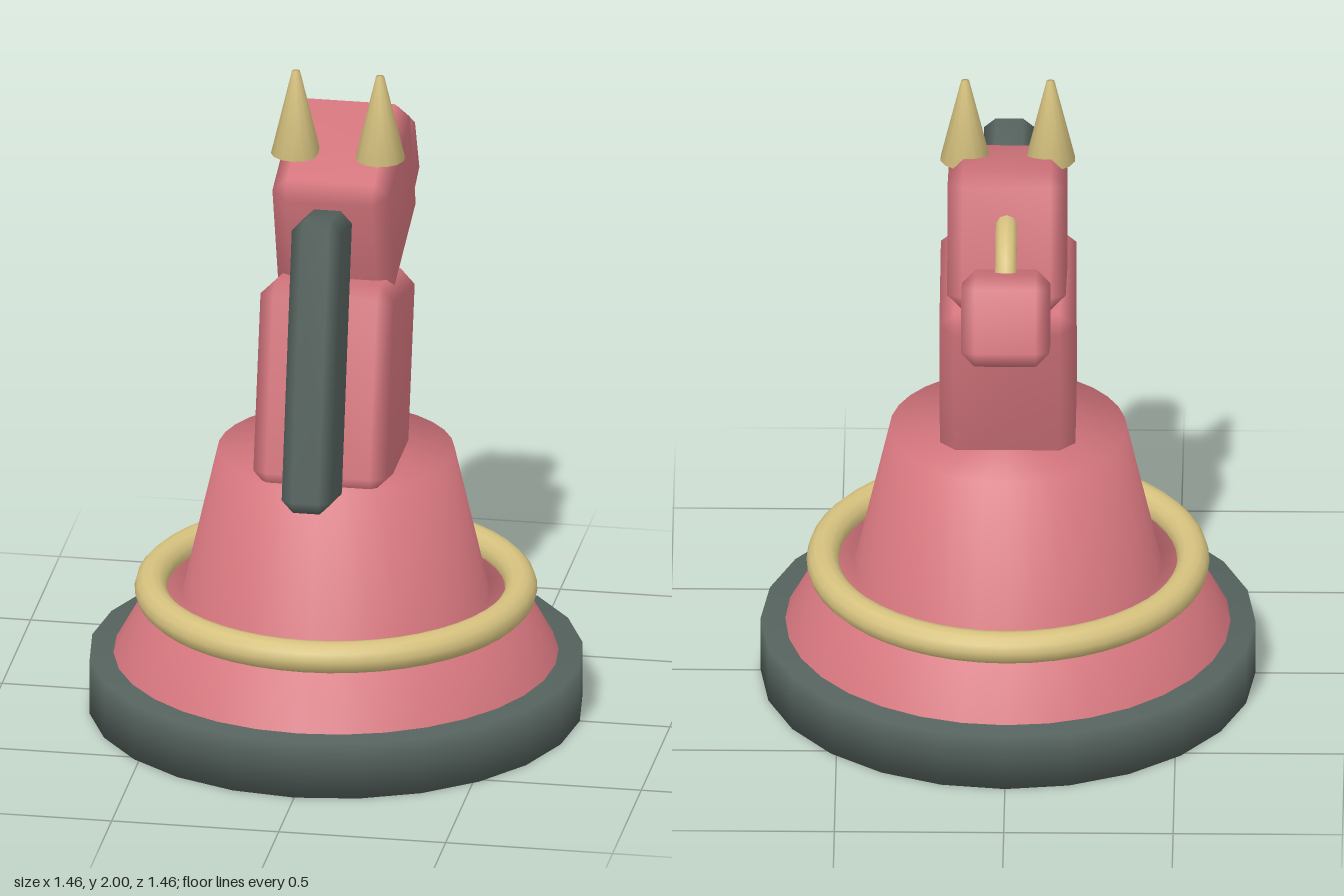
import * as THREE from 'three';
import { mergeVertices } from 'three/addons/utils/BufferGeometryUtils.js';
import { ConvexGeometry } from 'three/addons/geometries/ConvexGeometry.js';

const material = (name, color) => {
  const m = new THREE.MeshStandardMaterial({ color });
  m.name = name;
  return m;
};

// Box with single chamfers and softly shaded edges
function chamferBox(w, h, d, b) {
  const pts = [];
  for (const x of [-1, 1]) for (const y of [-1, 1]) for (const z of [-1, 1]) {
    const at = (p, q, r) => pts.push(new THREE.Vector3(x * (w / 2 - p), y * (h / 2 - q), z * (d / 2 - r)));
    at(0, b, b);
    at(b, 0, b);
    at(b, b, 0);
  }
  let geo = new ConvexGeometry(pts);
  geo.deleteAttribute('normal');
  geo = mergeVertices(geo, 1e-4);
  geo.computeVertexNormals();
  return geo;
}

const lathe = (profile, sides) =>
  new THREE.LatheGeometry(profile.map(([r, y]) => new THREE.Vector2(r, y)), sides);

export function createModel() {
  const group = new THREE.Group();
  const pink = material('rose body', 0xd4757d);
  const gold = material('pale gold trim', 0xd6c27f);
  const dark = material('dark grey green', 0x55625d);

  const add = (name, geo, mat, x, y, z, tilt = 0) => {
    const mesh = new THREE.Mesh(geo, mat);
    mesh.name = name;
    mesh.position.set(x, y, z);
    mesh.rotation.x = tilt;
    group.add(mesh);
    return mesh;
  };

  // Round foot and stepped pedestal
  add('foot', lathe([[0, 0], [0.73, 0], [0.73, 0.175], [0, 0.175]], 24), dark, 0, 0, 0);
  add('pedestal', lathe([
    [0.66, 0.17], [0.55, 0.37], [0.455, 0.36], [0.35, 0.82], [0, 0.82],
  ], 32), pink, 0, 0, 0);

  // Gold collar around the pedestal
  const collar = new THREE.TorusGeometry(0.547, 0.048, 12, 48);
  collar.rotateX(Math.PI / 2);
  add('collar', collar, gold, 0, 0.377, 0);

  // Leaning neck, mane, head and snout
  add('neck', chamferBox(0.4, 0.62, 0.46, 0.045), pink, 0, 1.06, 0.035, -0.24);
  add('mane', chamferBox(0.15, 0.88, 0.25, 0.035), dark, 0, 1.23, 0.335, -0.22);
  add('head', chamferBox(0.35, 0.42, 0.47, 0.045), pink, 0, 1.565, -0.14, 0.3);
  add('snout', chamferBox(0.26, 0.27, 0.44, 0.04), pink, 0, 1.458, -0.494, 0.42);

  // Bridle ring standing between head and snout
  const bridle = new THREE.TorusGeometry(0.192, 0.033, 10, 32);
  bridle.rotateY(Math.PI / 2);
  add('bridleRing', bridle, gold, 0, 1.49, -0.34);

  // Pointed ears
  const ear = lathe([[0, 0], [0.074, 0], [0.012, 0.26], [0, 0.26]], 14);
  for (const side of [-1, 1])
    add(side > 0 ? 'leftEar' : 'rightEar', ear, gold, side * 0.126, 1.74, -0.035);

  return group;
}
